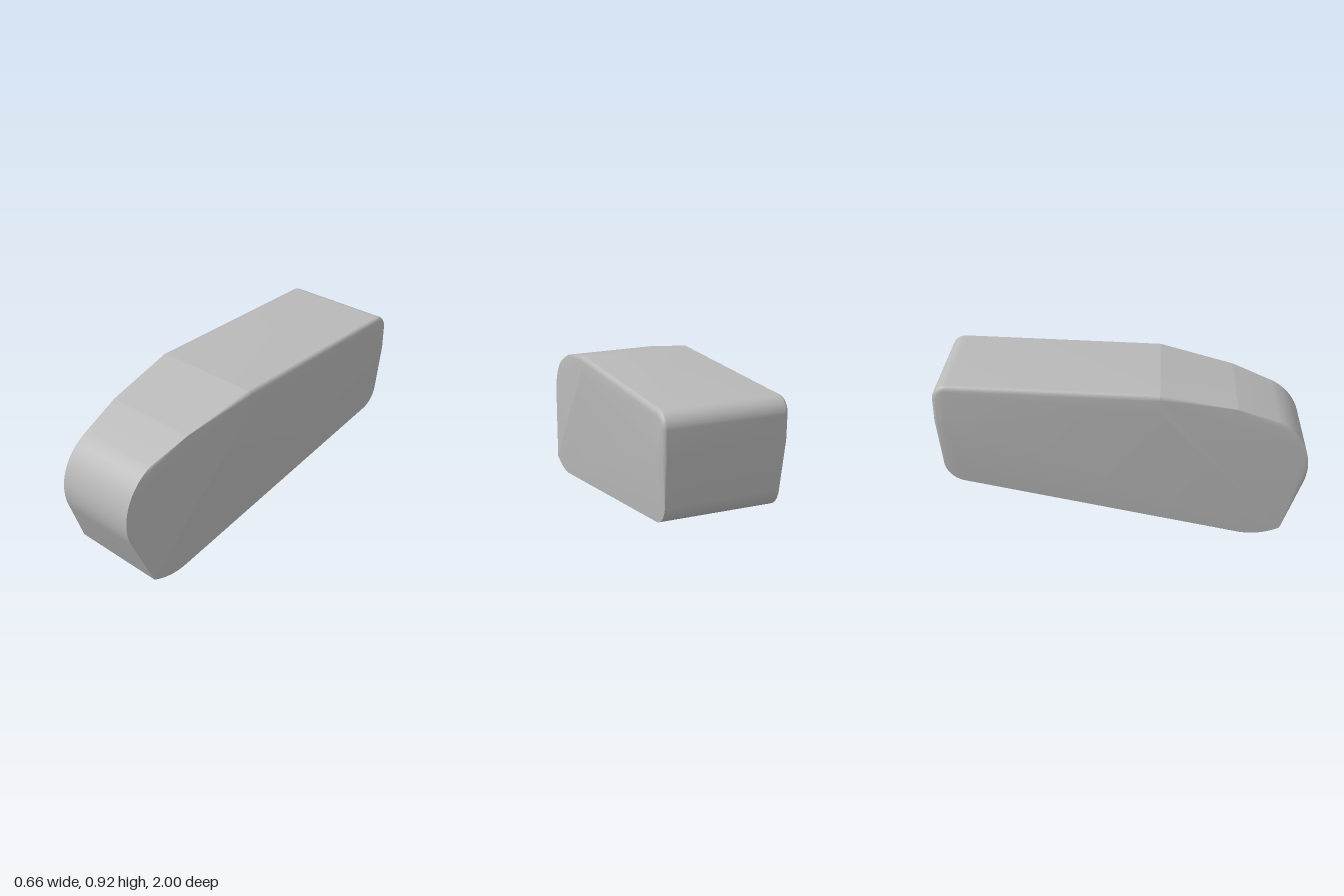
import * as THREE from 'three';
import { toCreasedNormals } from 'three/addons/utils/BufferGeometryUtils.js';
import { ConvexGeometry } from 'three/addons/geometries/ConvexGeometry.js';

const rad = THREE.MathUtils.degToRad;

export function createModel() {
  const group = new THREE.Group();
  const grey = new THREE.MeshStandardMaterial({ color: 0xb8b8b8 });
  grey.name = 'plain grey';

  // The body is a convex shell spanned by mirrored rim points
  const points = [];
  const add = (z, y, w) => points.push(new THREE.Vector3(w, y, z), new THREE.Vector3(-w, y, z));

  // arc in the side profile: centre, radius, start and end angle in degrees
  const arc = (cz, cy, r, from, to, visit) => {
    const n = Math.ceil(Math.abs(to - from) / 5);
    for (let i = 0; i <= n; i++) {
      const a = rad(from + (to - from) * i / n);
      visit(cz + r * Math.cos(a), cy + r * Math.sin(a), Math.cos(a), Math.sin(a));
    }
  };

  // rounded side edge, easing from the outline (w 0.30) out to the flank
  const rim = (z, y, nz, ny) => {
    for (let i = 0; i <= 15; i++) {
      const a = rad(i * 6);
      const inset = 0.03 * (1 - Math.cos(a));
      add(z - nz * inset, y - ny * inset, 0.302 + 0.023 * Math.sin(a));
    }
  };

  // narrow rounded nose
  arc(0.69, 0.42, 0.31, 65, -21, (z, y) => add(z, y, 0.24));

  // curved front of the underside
  const keel = new THREE.QuadraticBezierCurve(
    new THREE.Vector2(0.87, 0.04), new THREE.Vector2(0.74, -0.023), new THREE.Vector2(0.61, 0.014));
  for (const p of keel.getPoints(10)) add(p.x, Math.max(p.y, 0), 0.28);

  // rounded lower back corner
  arc(-0.842, 0.462, 0.133, 258, 184, (z, y) => add(z, y, 0.302));

  // back face bend and rounded upper back corner
  rim(-1, 0.71, -1, 0);
  arc(-0.92, 0.84, 0.08, 180, 92, rim);

  // sloping top
  rim(0.19, 0.885, 0, 1);
  add(0.6, 0.785, 0.273);

  // widest line of the flanks
  add(0.19, 0.79, 0.328);
  add(-0.95, 0.73, 0.33);

  const shell = toCreasedNormals(new ConvexGeometry(points), rad(7));
  const body = new THREE.Mesh(shell, grey);
  body.name = 'body';
  group.add(body);
  return group;
}
